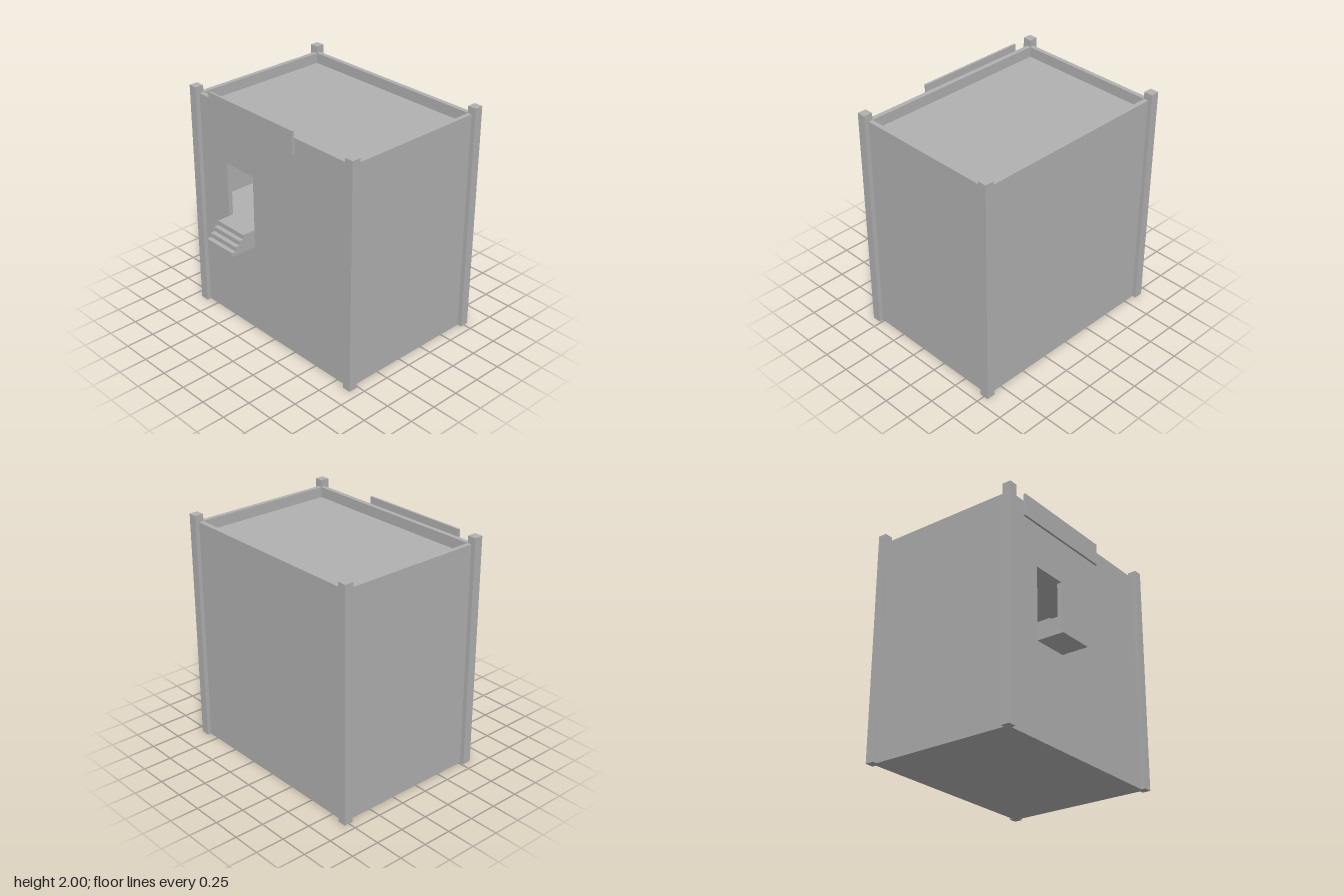
import * as THREE from 'three';

export function createModel() {
  const model = new THREE.Group();
  model.name = 'building';
  const plaster = new THREE.MeshStandardMaterial({ color: 0xb0b0b0 });
  plaster.name = 'grey plaster';

  // Box given by its minimum and maximum on each axis
  function box(name, x0, x1, y0, y1, z0, z1) {
    const mesh = new THREE.Mesh(new THREE.BoxGeometry(x1 - x0, y1 - y0, z1 - z0), plaster);
    mesh.position.set((x0 + x1) / 2, (y0 + y1) / 2, (z0 + z1) / 2);
    mesh.name = name;
    model.add(mesh);
  }

  function rectangle(path, x0, x1, y0, y1) {
    return path.moveTo(x0, y0).lineTo(x1, y0).lineTo(x1, y1).lineTo(x0, y1).closePath();
  }

  // Front wall with the doorway cut through it
  const front = rectangle(new THREE.Shape(), -0.89, 0.89, 0, 1.94);
  front.holes.push(rectangle(new THREE.Path(), -0.54, -0.22, 0.95, 1.43));
  const frontWall = new THREE.Mesh(
    new THREE.ExtrudeGeometry(front, { depth: 0.04, bevelEnabled: false }), plaster);
  frontWall.position.z = 0.513;
  frontWall.name = 'frontWall';
  model.add(frontWall);

  // Remaining walls, rising past the roof as a parapet
  box('backWall', -0.89, 0.89, 0, 1.94, -0.757, -0.717);
  box('rightWall', -0.89, -0.852, 0, 1.94, -0.717, 0.513);
  box('leftWall', 0.852, 0.89, 0, 1.94, -0.717, 0.513);

  // Horizontal slabs
  box('base', -0.852, 0.852, 0, 0.04, -0.717, 0.513);
  box('upperFloor', -0.852, 0.852, 0.91, 0.95, -0.717, 0.513);
  box('roof', -0.852, 0.852, 1.81, 1.85, -0.717, 0.513);

  // Corner posts
  for (const x of [-0.89, 0.89])
    for (const z of [-0.753, 0.553])
      box('cornerPost', x - 0.038, x + 0.038, 0, 2, z - 0.038, z + 0.038);

  // Sign board on the front
  box('signBoard', -0.715, 0.275, 1.805, 2, 0.553, 0.572);

  // Steps below the doorway, as one stepped side profile
  const profile = new THREE.Shape().moveTo(0.553, 0.795).lineTo(0.79, 0.795);
  for (let i = 0; i < 4; i++) {
    const z = 0.79 - i * 0.04, y = 0.83 + i * 0.04;
    profile.lineTo(z, y).lineTo(i < 3 ? z - 0.04 : 0.553, y);
  }
  const steps = new THREE.Mesh(
    new THREE.ExtrudeGeometry(profile, { depth: 0.32, bevelEnabled: false }), plaster);
  steps.rotation.y = -Math.PI / 2;
  steps.position.x = -0.22;
  steps.name = 'steps';
  model.add(steps);

  // Counter inside with a slatted rack behind it
  box('counter', -0.852, 0.5, 0.95, 1.15, -0.3, -0.2);
  box('counterTop', -0.852, -0.24, 1.15, 1.19, -0.3, -0.2);
  for (let i = 0; i < 6; i++) {
    const x = -0.505 + i * 0.05;
    box('rackSlat', x - 0.005, x + 0.005, 1.2, 1.6, -0.717, -0.68);
  }
  return model;
}
